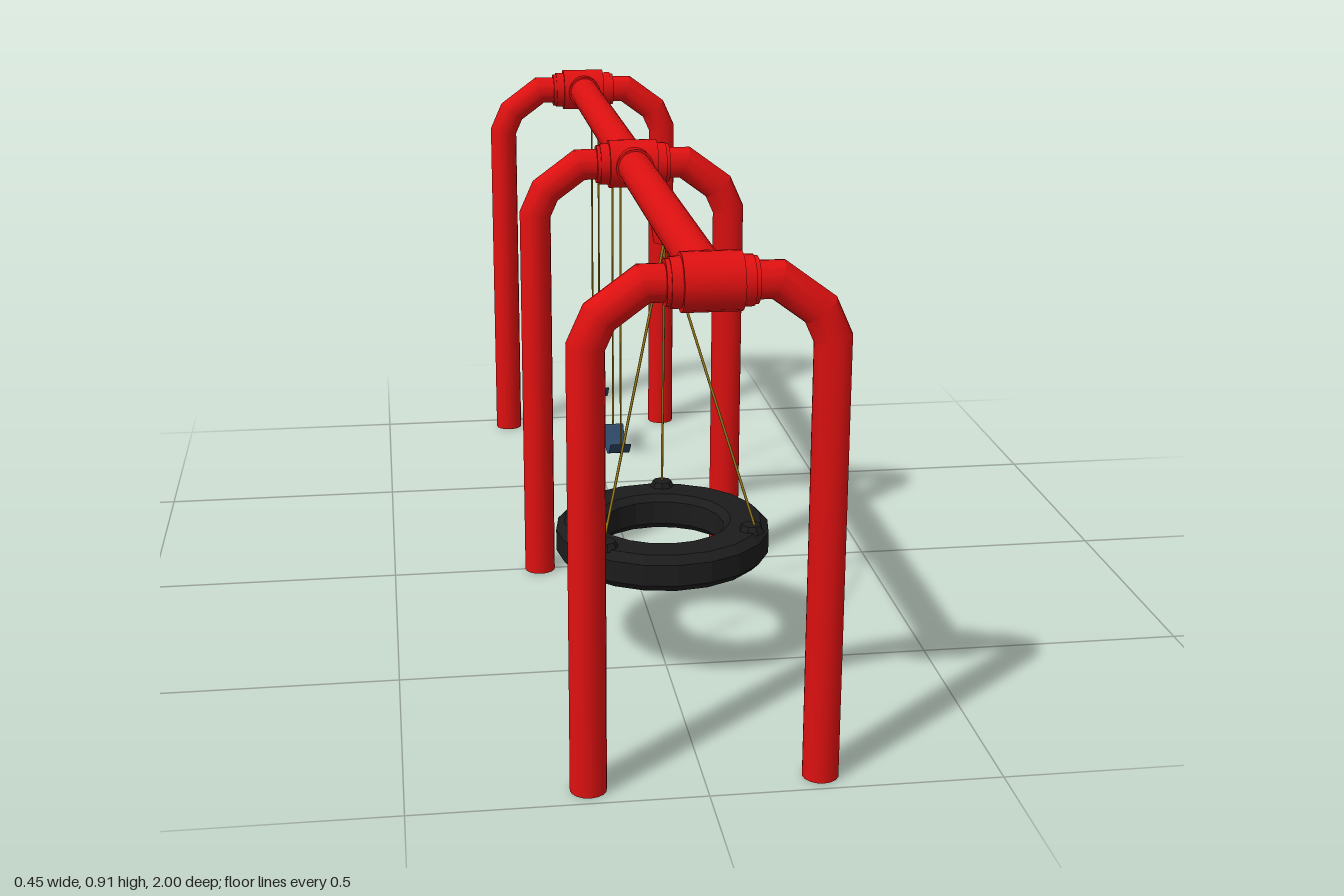
import * as THREE from 'three';
import { toCreasedNormals } from 'three/addons/utils/BufferGeometryUtils.js';

const paint = new THREE.MeshStandardMaterial({ color: 0xdd1010 });
const rope = new THREE.MeshStandardMaterial({ color: 0x9a7a1c });
const rubber = new THREE.MeshStandardMaterial({ color: 0x1c1c1c, flatShading: true });
const seatBlue = new THREE.MeshStandardMaterial({ color: 0x2c4664, side: THREE.DoubleSide });

const BEAM_Y = 0.863;
const TYRE_Z = 0.445;

function add(parent, name, geometry, material, x = 0, y = 0, z = 0) {
  const mesh = new THREE.Mesh(geometry, material);
  mesh.name = name;
  mesh.position.set(x, y, z);
  parent.add(mesh);
  return mesh;
}

// Round bar between two points
function bar(parent, name, a, b, radius, material, sides = 6) {
  const dir = b.clone().sub(a);
  const mesh = add(parent, name, new THREE.CylinderGeometry(radius, radius, dir.length(), sides), material);
  mesh.position.copy(a).add(b).multiplyScalar(0.5);
  mesh.quaternion.setFromUnitVectors(new THREE.Vector3(0, 1, 0), dir.normalize());
  return mesh;
}

// Pipe along a path in the xy plane, with mitred bends
function mitredPipe(path, radius) {
  const n = path.length - 1;
  const geo = new THREE.CylinderGeometry(radius, radius, 1, 16, n);
  const pos = geo.attributes.position;
  for (let i = 0; i < pos.count; i++) {
    const row = Math.round((0.5 - pos.getY(i)) * n);
    const p = path[row];
    const before = p.clone().sub(path[Math.max(row - 1, 0)]).normalize();
    const after = path[Math.min(row + 1, n)].clone().sub(p).normalize();
    const t = before.add(after);
    const mitre = row === 0 || row === n ? 1 : 2 / t.length();
    t.normalize();
    const off = pos.getX(i) * mitre;
    pos.setXYZ(i, p.x - t.y * off, p.y + t.x * off, pos.getZ(i));
  }
  return toCreasedNormals(geo, 0.42);
}

function createFrame(z) {
  const frame = new THREE.Group();
  frame.name = 'archFrame';
  frame.position.z = z;
  const half = [[0.196, 0], [0.196, 0.765], [0.175, 0.812], [0.106, BEAM_Y]];
  const path = [
    ...half.map(([x, y]) => new THREE.Vector2(-x, y)),
    ...half.reverse().map(([x, y]) => new THREE.Vector2(x, y)),
  ];
  add(frame, 'archPipe', mitredPipe(path, 0.031), paint);
  // Clamp sleeves around the top of the arch
  for (const [name, r, w] of [['clampHub', 0.048, 0.096], ['clampSleeve', 0.041, 0.132], ['clampRim', 0.038, 0.146]]) {
    add(frame, name, new THREE.CylinderGeometry(r, r, w, 20), paint, 0, BEAM_Y).rotation.z = Math.PI / 2;
  }
  // Beam collars on the sides that carry a beam
  for (const s of [-1, 1]) {
    if (Math.abs(z + s * 0.05) > 0.95) continue;
    add(frame, 'beamCollar', new THREE.CylinderGeometry(0.038, 0.038, 0.05, 20), paint, 0, BEAM_Y, s * 0.027)
      .rotation.x = Math.PI / 2;
  }
  return frame;
}

function createSwing(z) {
  const swing = new THREE.Group();
  swing.name = 'swing';
  swing.position.z = z;
  const half = 0.071;
  // Sagging strap seat
  const seat = new THREE.PlaneGeometry(0.046, half * 2, 1, 12).rotateX(-Math.PI / 2);
  const pos = seat.attributes.position;
  for (let i = 0; i < pos.count; i++) {
    pos.setY(i, 0.161 + 0.04 * Math.pow(Math.abs(pos.getZ(i)) / half, 2.2));
  }
  seat.computeVertexNormals();
  add(swing, 'seat', seat, seatBlue);
  for (const s of [-1, 1]) {
    bar(swing, 'swingRope', new THREE.Vector3(0, 0.2, s * half), new THREE.Vector3(0, 0.84, s * half), 0.0022, rope);
  }
  return swing;
}

function createTyreSwing() {
  const swing = new THREE.Group();
  swing.name = 'tyreSwing';
  swing.position.z = TYRE_Z;
  const profile = [
    [0.185, 0.207], [0.2, 0.222], [0.2, 0.262], [0.185, 0.276], [0.128, 0.276],
    [0.115, 0.264], [0.115, 0.22], [0.128, 0.207], [0.185, 0.207],
  ].map(([r, y]) => new THREE.Vector2(r, y));
  add(swing, 'tyre', new THREE.LatheGeometry(profile, 20), rubber);

  add(swing, 'swivel', new THREE.CylinderGeometry(0.024, 0.02, 0.028, 12), paint, 0, 0.822, 0.01);
  const apex = new THREE.Vector3(0, 0.812, 0.01);
  // Three ropes, each ending at a clip on the tyre
  for (const [x, z] of [[-0.128, 0.132], [0.162, 0.083], [0.025, -0.182]]) {
    const clip = add(swing, 'ropeClip', new THREE.CylinderGeometry(0.018, 0.025, 0.014, 8), rubber, x * 0.95, 0.279, z * 0.95);
    clip.rotation.y = -Math.atan2(z, x);
    bar(swing, 'tyreRope', apex, new THREE.Vector3(x, 0.276, z), 0.0025, rope);
  }
  return swing;
}

export function createModel() {
  const model = new THREE.Group();
  model.name = 'swingSet';
  for (const z of [-0.952, 0, 0.952]) model.add(createFrame(z));
  bar(model, 'topBeam', new THREE.Vector3(0, BEAM_Y, -0.952), new THREE.Vector3(0, BEAM_Y, 0.952), 0.034, paint, 20);
  for (const z of [-0.265, -0.678]) model.add(createSwing(z));
  model.add(createTyreSwing());
  return model;
}
